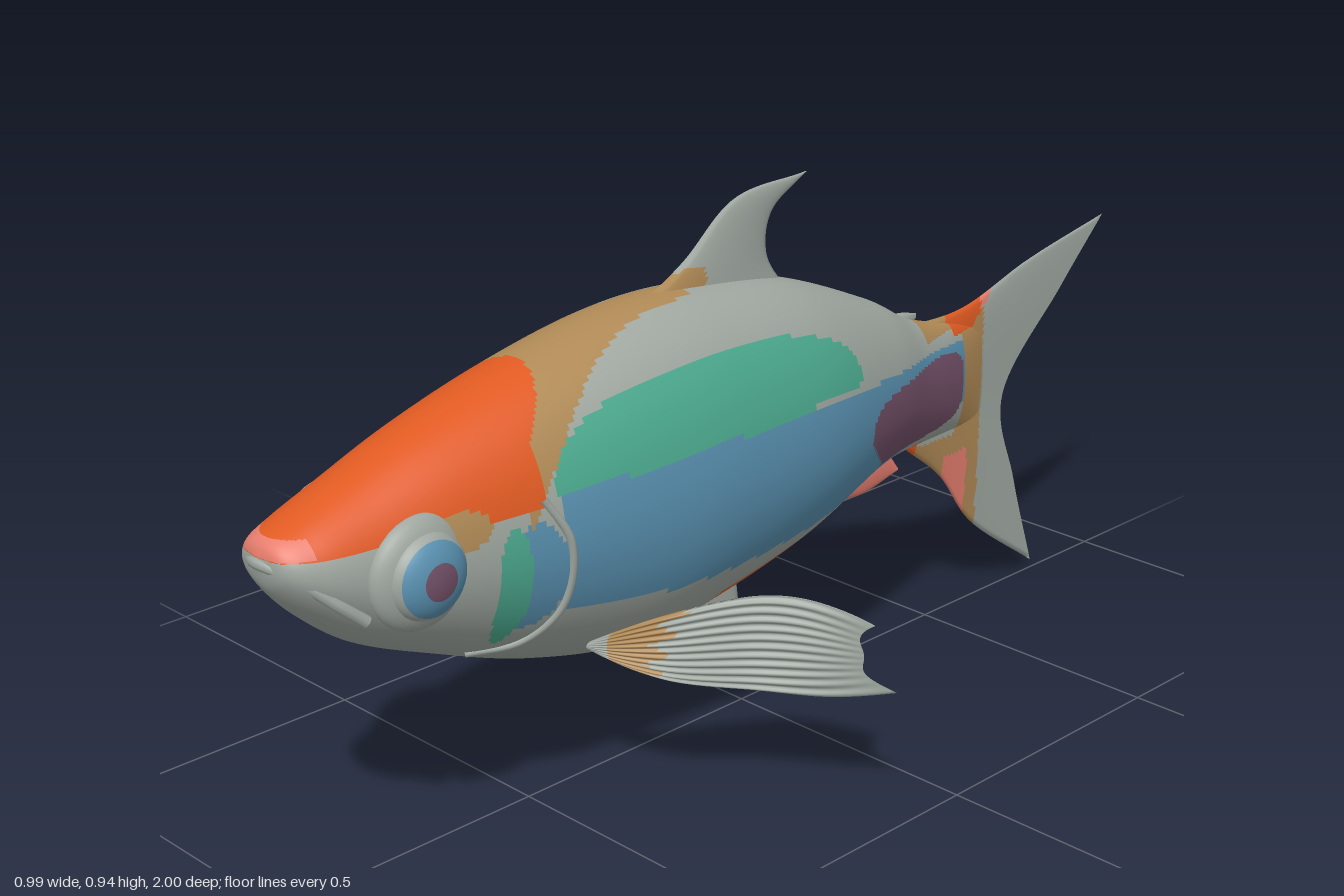
import * as THREE from 'three';

const COLORS = {
  grey: 0xa0a8a1, orange: 0xe05a22, tan: 0xb08a56, teal: 0x4dab90,
  blue: 0x5a92b2, purple: 0x75526a, pink: 0xee8272,
};
const NAMES = Object.keys(COLORS);
const MATS = NAMES.map((name) => {
  const m = new THREE.MeshStandardMaterial({ color: COLORS[name] });
  m.name = name;
  return m;
});
const mat = (name) => MATS[NAMES.indexOf(name)];

// Skin markings: (rounded) ovals and bands in the side plane
const oval = (z, y, cz, cy, rz, ry, power = 2) => Math.abs((z - cz) / rz) ** power + Math.abs((y - cy) / ry) ** power < 1;

function skin({ y, z }) {
  // head, nape and gill cover
  if (z > 0.94 && y > 0.586 && y < 0.612) return 'pink';
  if (oval(z, y, 0.715, 0.58, 0.045, 0.03)) return 'tan';
  if (y > 0.585 && z > 0.575 - 0.9 * Math.max(0, y - 0.68)) return 'orange';
  if (z > 0.15 && z < 0.61 && y > 0.55 && y > 0.8 - 2.6 * (z - 0.15) ** 3) return 'tan';
  if (oval(z, y, 0.635, 0.465, 0.03, 0.105)) return 'teal';
  if (oval(z, y, 0.6, 0.475, 0.06, 0.09)) return 'blue';
  // flank
  if (y > 0.598 && oval(z, y, 0.2, 0.6, 0.355, 0.13, 2.3)) return 'teal';
  if (y > 0.47 + 0.9 * (z + 0.19) && oval(z, y, -0.37, 0.47, 0.185, 0.076, 4)) return 'purple';
  const low = 0.355 + 0.2 * (z - 0.05) ** 2;
  if (z > -0.56 && z < 0.55 && y > low && y < 0.598 - 0.09 * Math.max(0, -z)) return 'blue';
  // belly
  if (z > -0.45 && y < Math.min(0.315 - 0.14 * z, 0.2 + 0.9 * (0.25 - z))) return 'orange';
  // tail root
  if (z < -0.53 && z > -0.7 && y > 0.56 + 0.9 * Math.max(0, -0.6 - z)) return z < -0.63 ? 'pink' : 'orange';
  if (z < -0.53 && z > -0.6 && y < 0.32) return 'pink';
  if (z < -0.43 && z > -0.635 && (z < -0.56 || y > 0.575 || y < 0.36)) return 'tan';
  return 'grey';
}

// Closed-ring loft: point(u, v) with v going round; faces are grouped by colour
function loft(name, point, nu, nv, colorOf) {
  const pts = [];
  for (let i = 0; i <= nu; i++) for (let j = 0; j < nv; j++) pts.push(point(i / nu, j / nv));
  const buckets = NAMES.map(() => []);
  for (let i = 0; i < nu; i++) for (let j = 0; j < nv; j++) {
    const k = (j + 1) % nv;
    const a = i * nv + j, b = i * nv + k, c = a + nv, d = b + nv;
    const mid = new THREE.Vector3();
    [a, b, c, d].forEach((n) => mid.addScaledVector(pts[n], 0.25));
    buckets[NAMES.indexOf(colorOf(mid))].push(a, b, c, b, d, c);
  }
  const geo = new THREE.BufferGeometry().setFromPoints(pts);
  geo.setIndex(buckets.flat());
  let start = 0;
  buckets.forEach((b, i) => {
    if (b.length) geo.addGroup(start, b.length, i);
    start += b.length;
  });
  geo.computeVertexNormals();
  const mesh = new THREE.Mesh(geo, MATS);
  mesh.name = name;
  return mesh;
}

// Body stations: z, half width, top, bottom
const STATIONS = [
  [.995, 0, .578, .572], [.98, .055, .608, .528], [.93, .088, .63, .47], [.84, .114, .664, .4],
  [.7, .143, .714, .335], [.52, .173, .762, .265], [.32, .188, .799, .22], [.14, .186, .803, .236],
  [-.08, .166, .77, .281], [-.3, .11, .684, .35], [-.44, .063, .61, .364], [-.64, .008, .56, .36],
];
const curve3 = (f) => new THREE.CatmullRomCurve3(STATIONS.map(f), false, 'catmullrom', 0.5);
const heights = curve3(([z, , t, b]) => new THREE.Vector3(z, t, b));
const widths = curve3(([, w]) => new THREE.Vector3(w, 0, 0));

function bodyPoint(u, v) {
  const { x: z, y: top, z: bottom } = heights.getPoint(u);
  const a = v * Math.PI * 2, s = Math.sin(a), c = Math.cos(a);
  const w = Math.max(0, widths.getPoint(u).x);
  const power = c < 0 ? 1.2 : 0.96; // keel is sharper than the back
  const x = Math.sign(s) * Math.pow(Math.abs(s), power) * w;
  return new THREE.Vector3(x, (top + bottom) / 2 + c * (top - bottom) / 2, z);
}

// Point on the body's left flank at the given z and y
function flank(z, y) {
  let lo = 0, hi = 1;
  for (let i = 0; i < 30; i++) {
    const m = (lo + hi) / 2;
    if (heights.getPoint(m).x > z) lo = m; else hi = m;
  }
  const { y: top, z: bottom } = heights.getPoint(lo);
  const c = THREE.MathUtils.clamp((2 * y - top - bottom) / (top - bottom), -1, 1);
  return bodyPoint(lo, Math.acos(c) / (Math.PI * 2));
}

// Upright fin: (z, y) curves from root to tip, blended across the chord, lens-shaped section
function fin(name, curves, half, colorOf, nu = 32, nv = 48) {
  const lines = curves.map((c) => new THREE.CatmullRomCurve3(c.map(([z, y]) => new THREE.Vector3(0, y, z))));
  return loft(name, (u, v) => {
    const side = v < 0.5 ? 1 : -1;
    const r = side > 0 ? v * 2 : 2 - v * 2;
    const across = lines.map((l) => l.getPoint(u));
    const p = across.length > 2
      ? new THREE.CatmullRomCurve3(across, false, 'catmullrom', 0.5).getPoint(r)
      : across[0].lerp(across[1], r);
    p.x = side * half * (1.08 - u) * Math.sqrt(Math.max(0, 1 - (2 * r - 1) ** 2));
    return p;
  }, nu, nv, colorOf);
}

// Spread, ribbed pectoral fin with a forked outer edge
const sweep = new THREE.SplineCurve([[.1, .44], [.2, .375], [.3, .26], [.4, .195], [.5, .15]].map((p) => new THREE.Vector2(...p)));

function pectoral(side) {
  return loft(side > 0 ? 'leftPectoralFin' : 'rightPectoralFin', (u, v0) => {
    const v = side > 0 ? v0 : (1 - v0) % 1;
    const front = v < 0.5;
    const r = front ? 1 - v * 2 : v * 2 - 1; // 0 lower edge, 1 upper edge
    const reach = 0.428 + 0.067 * (1 - r) ** 6 + 0.03 * r ** 6 + 0.014 * Math.sin(r * Math.PI) ** 4;
    const x = 0.1 + u * (reach - 0.1);
    const flare = Math.sin(u * 2.5);
    const y = THREE.MathUtils.lerp(0.285 - 0.072 * flare, 0.3 + 0.085 * flare, r);
    const z = sweep.getPoint(THREE.MathUtils.clamp((x - 0.1) / 0.4, 0, 1)).y;
    const thick = (0.012 * (1 - u) + 0.002) * Math.sqrt(Math.max(0, 4 * r * (1 - r)));
    const rib = 0.004 * Math.sin(r * Math.PI * 22) * Math.sin(u * Math.PI);
    return new THREE.Vector3(side * x, y, z + (front ? thick : -thick) + rib);
  }, 32, 128, ({ x, y }) => {
    const outer = 0.2 + 0.25 * (y - 0.3) + 0.012 * Math.sin(y * 180);
    return Math.abs(x) > 0.135 && Math.abs(x) < outer && y > 0.25 ? 'tan' : 'grey';
  });
}

// Eye set in a low mound: pupil and iris are bands of one flattened ball
function eye(side) {
  const g = new THREE.Group();
  g.name = side > 0 ? 'leftEye' : 'rightEye';
  const bands = [
    ['pupil', 'purple', 0.07, 0, 0.44, 0.018], ['iris', 'blue', 0.07, 0.44, 1.05, 0.018],
    ['rim', 'grey', 0.07, 1.05, Math.PI / 2, 0.018], ['socket', 'grey', 0.092, 0, Math.PI / 2, 0],
  ];
  bands.forEach(([name, color, radius, from, to, lift]) => {
    const m = new THREE.Mesh(new THREE.SphereGeometry(radius, 32, 10, 0, Math.PI * 2, from, to - from), mat(color));
    m.name = name;
    m.scale.y = name === 'socket' ? 0.42 : 0.58;
    m.position.y = lift;
    g.add(m);
  });
  g.rotation.z = -side * Math.PI / 2;
  g.position.set(side * 0.107, 0.53, 0.785);
  return g;
}

function tube(name, points, radius) {
  const m = new THREE.Mesh(new THREE.TubeGeometry(new THREE.CatmullRomCurve3(points), 32, radius, 8), mat('grey'));
  m.name = name;
  return m;
}

export function createModel() {
  const fish = new THREE.Group();
  fish.name = 'fish';
  fish.add(loft('body', bodyPoint, 320, 144, skin));

  // Centre-line fins
  fish.add(fin('dorsalFin', [
    [[.28, .77], [.14, .84], [.02, .925], [-.155, .94]],
    [[-.13, .72], [-.06, .815], [-.07, .885], [-.155, .94]],
  ], 0.021, (p) => (p.z > 0.1 && p.y < 0.83 ? 'tan' : 'grey')));
  fish.add(fin('tailFin', [
    [[-.42, .6], [-.58, .6], [-.77, .652], [-1, .697]],
    [[-.43, .54], [-.62, .55], [-.875, .575]],
    [[-.43, .475], [-.58, .455], [-.71, .4]],
    [[-.43, .415], [-.58, .33], [-.755, .21]],
    [[-.43, .36], [-.53, .28], [-.62, .165], [-.82, .018]],
  ], 0.016, skin, 56, 96));
  fish.add(fin('pelvicFin', [
    [[.02, .29], [0, .145], [-.02, .07], [-.065, .002]],
    [[.24, .25], [.16, .135], [.06, .05], [-.065, .002]],
  ], 0.013, (p) => (p.z > 0.11 && p.y > 0.11 ? 'tan' : 'grey')));
  fish.add(fin('analFin', [
    [[-.3, .4], [-.38, .365], [-.41, .33]],
    [[-.18, .33], [-.3, .306], [-.41, .325]],
  ], 0.014, () => 'pink'));
  fish.add(fin('adiposeFin', [
    [[-.36, .635], [-.41, .63], [-.45, .62]],
    [[-.4, .6], [-.43, .6], [-.45, .61]],
  ], 0.012, () => 'grey', 12, 16));

  // Downturned mouth
  const corner = [[.05, .56, .967], [.083, .515, .92], [.096, .475, .875]].map((p) => new THREE.Vector3(...p));
  const mirrored = corner.map((p) => new THREE.Vector3(-p.x, p.y, p.z)).reverse();
  fish.add(tube('lip', [...mirrored, new THREE.Vector3(0, 0.575, 0.99), ...corner], 0.01));

  // Paired parts
  [1, -1].forEach((side) => {
    const edge = [[.58, .6], [.54, .52], [.545, .41], [.59, .35], [.66, .335]];
    const points = edge.map(([z, y]) => flank(z, y).multiply(new THREE.Vector3(side, 1, 1)));
    fish.add(tube(side > 0 ? 'leftGillEdge' : 'rightGillEdge', points, 0.007));
    fish.add(eye(side), pectoral(side));
  });
  return fish;
}
